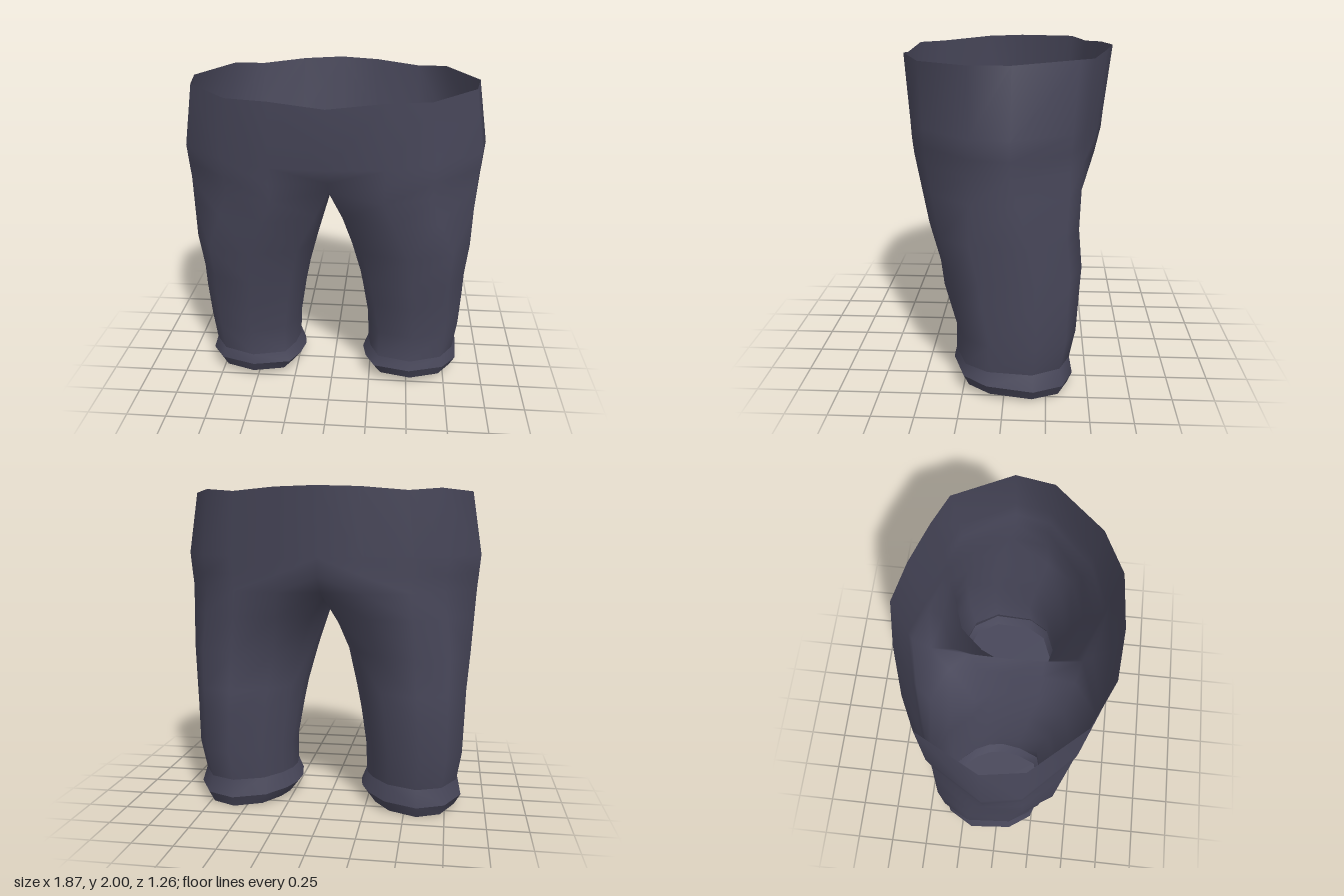
import * as THREE from 'three';
import { mergeVertices } from 'three/addons/utils/BufferGeometryUtils.js';

// Unit outlines as [x, z]: half of the hips from front centre to back centre,
// and a whole leg from its front inner corner round the outside
const HIP = [[0, 1], [0.355, 0.955], [0.656, 0.76], [0.957, 0.29], [1, -0.08],
  [0.79, -0.64], [0.58, -0.78], [0.28, -0.915], [0, -1]];
const LEG = [[-0.74, 0.84], [-0.03, 1], [0.65, 0.78], [0.94, 0.39], [1, -0.36],
  [0.69, -0.83], [0.17, -1], [-0.45, -0.81], [-0.8, -0.47],
  [-0.95, -0.2], [-1, 0.08], [-0.93, 0.46]];
const ARC = HIP.length - 1;
const N = LEG.length;
const INNER = N - ARC;

function hipRow(y, w, zf, zb) {
  return HIP.map(([x, z]) => [x * w, y, z * (z > 0 ? zf : zb)]);
}

// Closed leg ring between two x and two z limits
function legRing(y, x0, x1, zf, zb, tilt = 0) {
  return LEG.map(([x, z]) => {
    const pz = (zf + zb) / 2 + (z * (zf - zb)) / 2;
    return [(x0 + x1) / 2 + (x * (x1 - x0)) / 2, y + tilt * pz, pz];
  });
}

// Ring where the leg meets the hips: outer arc plus the seam between the legs
function crotchRing() {
  const ring = hipRow(1.39, 0.915, 0.585, 0.57);
  ring[0] = [0, 1.42, 0.45];
  ring[ARC] = [0, 1.39, -0.47];
  for (let k = 1; k < INNER; k++) {
    const t = k / INNER;
    const lift = Math.pow(Math.abs(2 * t - 1), 2) * 0.05;
    ring.push([0, 1.34 + lift, THREE.MathUtils.lerp(-0.47, 0.45, t)]);
  }
  return ring;
}

function blend(a, b, t) {
  return a.map((p, i) => p.map((v, k) => THREE.MathUtils.lerp(v, b[i][k], t)));
}

// Join rows into a skin; rows of N points close, shorter rows stay open
function skin(rows, sides) {
  const pos = [];
  for (const s of sides) {
    const tri = (a, b, c) => {
      for (const p of s > 0 ? [a, b, c] : [a, c, b]) pos.push(s * p[0], p[1], p[2]);
    };
    for (let j = 0; j < rows.length - 1; j++) {
      const lo = rows[j], hi = rows[j + 1];
      const closed = lo.length === N && hi.length === N;
      for (let i = 0; i < (closed ? N : ARC); i++) {
        const k = (i + 1) % N;
        tri(lo[i], lo[k], hi[k]);
        tri(lo[i], hi[k], hi[i]);
      }
    }
  }
  return finish(pos);
}

// Flat sole closing the end of a leg
function cap(ring, s) {
  const pos = [];
  const c = [0, 1, 2].map((k) => ring.reduce((sum, p) => sum + p[k], 0) / N);
  for (let i = 0; i < N; i++) {
    const a = ring[i], b = ring[(i + 1) % N];
    for (const p of s > 0 ? [c, b, a] : [c, a, b]) pos.push(s * p[0], p[1], p[2]);
  }
  return finish(pos);
}

function finish(pos) {
  let g = new THREE.BufferGeometry();
  g.setAttribute('position', new THREE.Float32BufferAttribute(pos, 3));
  g = mergeVertices(g, 1e-4);
  g.computeVertexNormals();
  return g;
}

export function createModel() {
  const group = new THREE.Group();
  const cloth = new THREE.MeshStandardMaterial({ color: 0x48475a, side: THREE.DoubleSide });
  cloth.name = 'dark slate cloth';
  const add = (name, geometry) => {
    const mesh = new THREE.Mesh(geometry, cloth);
    mesh.name = name;
    group.add(mesh);
  };

  // Uneven waistline, dipped at the front
  const waist = hipRow(0, 0.875, 0.63, 0.63);
  [1.95, 1.98, 1.965, 1.975, 1.98, 1.99, 1.975, 1.995, 2].forEach((y, i) => (waist[i][1] = y));

  // Lower hips, drawn in at the front centre
  const lowerHips = hipRow(1.49, 0.925, 0.595, 0.575);
  lowerHips[0][2] = 0.5;

  const crotch = crotchRing();
  const thigh = legRing(1.0, 0.10, 0.885, 0.455, -0.43);
  const ankle = legRing(0.19, 0.235, 0.82, 0.305, -0.39, 0.02);
  const cuffEdge = legRing(0.105, 0.2, 0.85, 0.32, -0.41, 0.08);
  const hem = legRing(0.035, 0.255, 0.81, 0.285, -0.38, 0.08);

  // Hips and both legs as one smooth skin
  add('trousers', skin([
    ankle,
    legRing(0.37, 0.23, 0.85, 0.30, -0.425),
    legRing(0.62, 0.19, 0.86, 0.37, -0.44),
    legRing(0.77, 0.16, 0.865, 0.39, -0.45),
    thigh,
    blend(crotch, thigh, 0.4),
    crotch,
    lowerHips,
    hipRow(1.6, 0.935, 0.6, 0.585),
    waist,
  ], [1, -1]));

  // Flared cuffs with turned-under hems and closed ends
  for (const [side, s] of [['left', 1], ['right', -1]]) {
    add(side + 'Cuff', skin([cuffEdge, ankle], [s]));
    add(side + 'Hem', skin([hem, cuffEdge], [s]));
    add(side + 'LegEnd', cap(hem, s));
  }
  return group;
}
